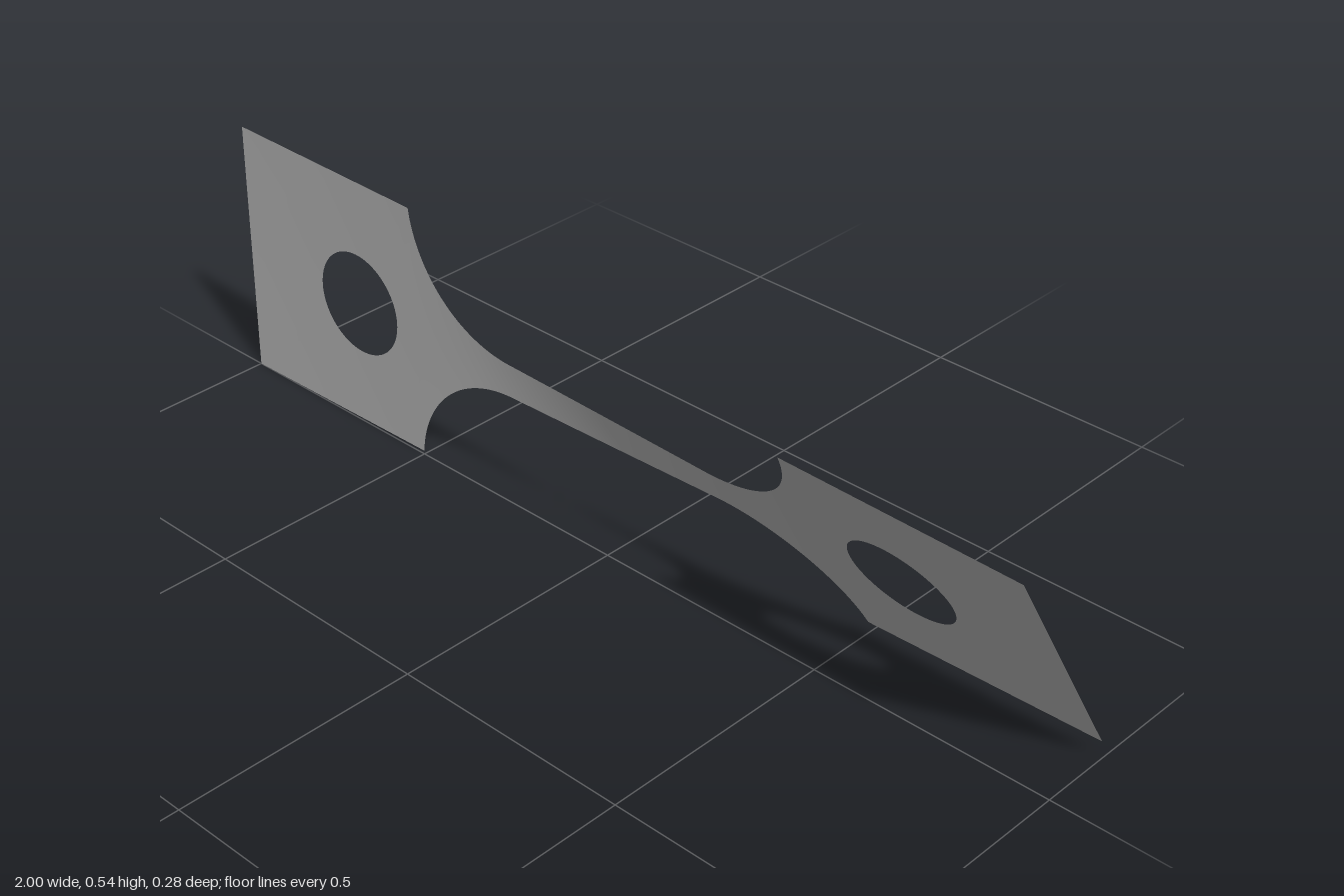
import * as THREE from 'three';

const HALF = 0.271;            // half height of the end plates
const NECK = 0.038;            // half height of the neck
const FLAT = 0.25;             // half length of the straight neck
const R = 0.26;                // fillet radius
const T_END = Math.acos(1 - (HALF - NECK) / R);
const PLATE = FLAT + R * Math.sin(T_END); // where the plates begin
const TOTAL_TWIST = THREE.MathUtils.degToRad(31.4);

// Half height of the strip at x
function halfHeight(x) {
  const d = Math.abs(x) - FLAT;
  if (d <= 0) return NECK;
  if (d >= PLATE - FLAT) return HALF;
  return NECK + R - Math.sqrt(R * R - d * d);
}

// Twist accumulates along x, faster where the strip is narrow
const STEPS = 1000;
const twist = [0];
for (let i = 0; i < STEPS; i++) {
  const x = -1 + (2 * (i + 0.5)) / STEPS;
  twist.push(twist[i] + Math.pow(halfHeight(x), -1.25));
}
function angleAt(x) {
  const f = THREE.MathUtils.clamp((x + 1) / 2, 0, 1) * STEPS;
  const i = Math.min(Math.floor(f), STEPS - 1);
  return (TOTAL_TWIST * (twist[i] + (twist[i + 1] - twist[i]) * (f - i))) / twist[STEPS];
}

// Grid surface from point(i, j) = [x, v], twisted about the long axis
function twistedGrid(rows, cols, point) {
  const pos = [], idx = [];
  for (let i = 0; i <= rows; i++) {
    for (let j = 0; j <= cols; j++) {
      const [x, v] = point(i, j);
      const a = angleAt(x);
      pos.push(x, HALF + v * Math.cos(a), v * Math.sin(a));
      if (i < rows && j < cols) {
        const p = i * (cols + 1) + j, q = p + cols + 1;
        idx.push(p, q, q + 1, p, q + 1, p + 1);
      }
    }
  }
  const g = new THREE.BufferGeometry();
  g.setAttribute('position', new THREE.Float32BufferAttribute(pos, 3));
  g.setIndex(idx);
  g.computeVertexNormals();
  return g;
}

// Straight neck with a rounded flare at each end
function neckGeometry() {
  const xs = [];
  for (let i = 0; i <= 32; i++) xs.push(FLAT + R * Math.sin((T_END * i) / 32));
  const stations = xs.map((x) => -x).reverse();
  for (let i = 1; i < 40; i++) stations.push(-FLAT + (2 * FLAT * i) / 40);
  stations.push(...xs);
  return twistedGrid(stations.length - 1, 8, (i, j) => [
    stations[i], halfHeight(stations[i]) * (j / 4 - 1),
  ]);
}

// Rectangular plate with a round hole, as rings from the hole to the border
function plateGeometry(side) {
  const cx = side * 0.672, r = 0.109;
  const x0 = Math.min(side, side * PLATE), x1 = Math.max(side, side * PLATE);
  const angles = [];
  for (let i = 0; i < 72; i++) angles.push((i / 72) * Math.PI * 2);
  for (const x of [x0, x1]) {
    for (const y of [-HALF, HALF]) {
      angles.push((Math.atan2(y, x - cx) + Math.PI * 2) % (Math.PI * 2));
    }
  }
  angles.sort((a, b) => a - b);
  angles.push(Math.PI * 2);
  const rings = 6;
  return twistedGrid(rings, angles.length - 1, (i, j) => {
    const c = Math.cos(angles[j]), s = Math.sin(angles[j]);
    const toX = (c > 0 ? x1 - cx : cx - x0) / Math.max(Math.abs(c), 1e-9);
    const toY = HALF / Math.max(Math.abs(s), 1e-9);
    const d = r + (Math.min(toX, toY) - r) * (i / rings);
    return [cx + d * c, d * s];
  });
}

export function createModel() {
  const metal = new THREE.MeshStandardMaterial({ color: 0xbcbcbc, side: THREE.DoubleSide });
  metal.name = 'grey metal';
  const group = new THREE.Group();
  group.name = 'twistedTestStrip';
  const add = (name, geometry) => {
    const mesh = new THREE.Mesh(geometry, metal);
    mesh.name = name;
    group.add(mesh);
  };
  add('neck', neckGeometry());
  add('rightPlate', plateGeometry(-1));
  add('leftPlate', plateGeometry(1));
  return group;
}
